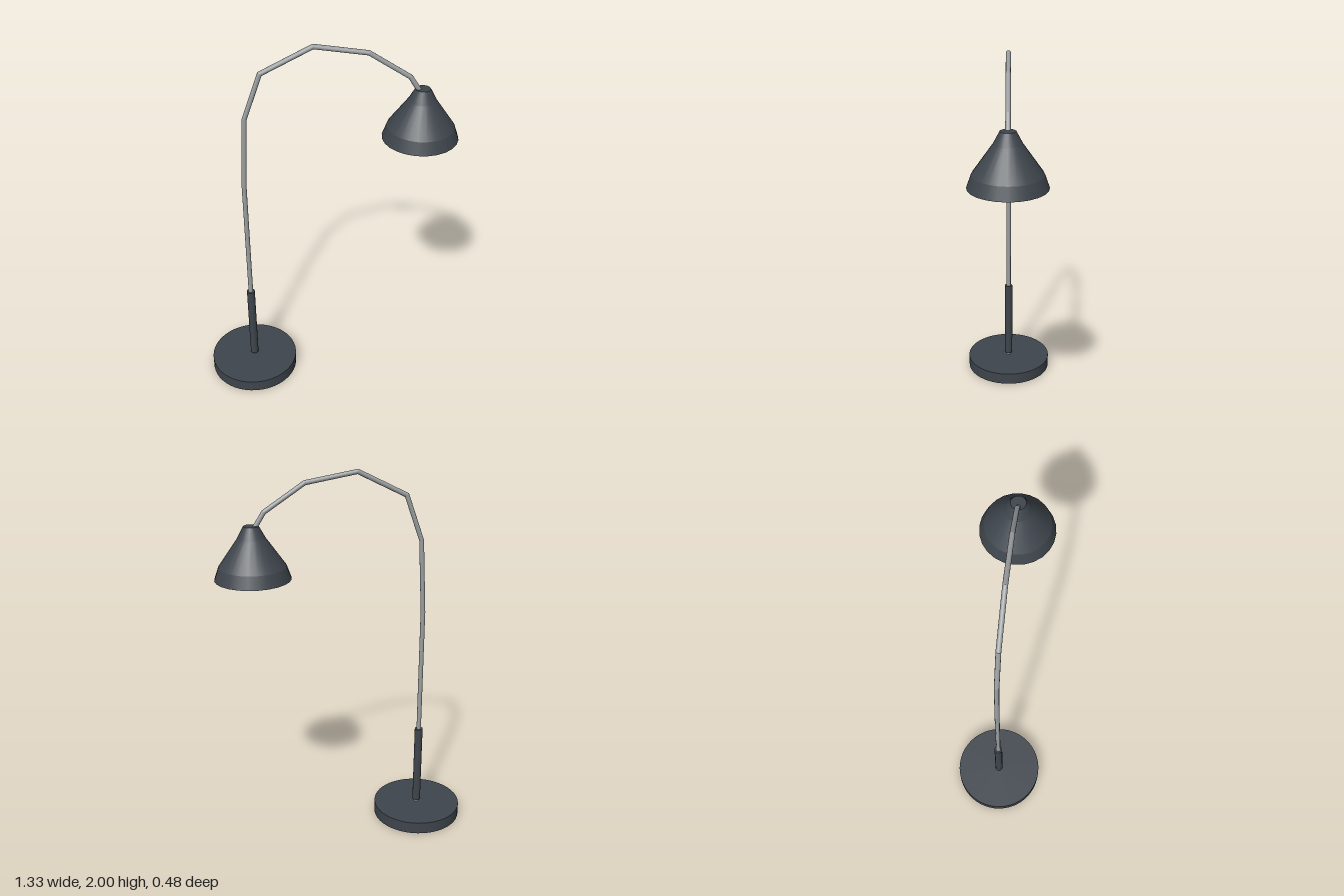
import * as THREE from 'three';

const mat = (name, color, side = THREE.FrontSide) => {
  const m = new THREE.MeshStandardMaterial({ color, side });
  m.name = name;
  return m;
};

// Round rod along a polyline in the xy plane, with mitred bends
function bentRod(points, radius, sides) {
  const pts = points.map(([x, y]) => new THREE.Vector2(x, y));
  const dirs = pts.slice(1).map((p, i) => p.clone().sub(pts[i]).normalize());
  const pos = [], nor = [], idx = [];
  for (let s = 0; s < dirs.length; s++) {
    const d = dirs[s], start = pos.length / 3;
    for (let e = 0; e < 2; e++) {
      const p = pts[s + e];
      const other = dirs[e ? s + 1 : s - 1] ?? d;
      const bis = d.clone().add(other).normalize();
      const slope = (bis.x * -d.y + bis.y * d.x) / bis.dot(d);
      for (let i = 0; i <= sides; i++) {
        const a = (i / sides) * Math.PI * 2, c = Math.cos(a), z = Math.sin(a);
        // Slide each corner along the segment onto the mitre plane
        const t = -c * radius * slope;
        pos.push(p.x - d.y * c * radius + d.x * t, p.y + d.x * c * radius + d.y * t, z * radius);
        nor.push(-d.y * c, d.x * c, z);
      }
    }
    for (let i = 0; i < sides; i++) {
      const a = start + i, b = a + sides + 1;
      idx.push(a, a + 1, b, a + 1, b + 1, b);
    }
  }
  const g = new THREE.BufferGeometry();
  g.setAttribute('position', new THREE.Float32BufferAttribute(pos, 3));
  g.setAttribute('normal', new THREE.Float32BufferAttribute(nor, 3));
  g.setIndex(idx);
  return g;
}

export function createModel() {
  const lamp = new THREE.Group();
  lamp.name = 'floorLamp';
  const dark = mat('charcoal paint', 0x3e454c);
  const steel = mat('brushed steel', 0x9b9fa1, THREE.DoubleSide);
  const cream = mat('cream lining', 0xeee6d2, THREE.BackSide);
  const glass = mat('bulb glass', 0xeee8dc);

  const add = (parent, name, geometry, material, x = 0, y = 0) => {
    const m = new THREE.Mesh(geometry, material);
    m.name = name;
    m.position.set(x, y, 0);
    parent.add(m);
    return m;
  };

  // Base and grip sleeve
  const poleX = -0.426;
  add(lamp, 'base', new THREE.CylinderGeometry(0.242, 0.242, 0.066, 48), dark, poleX, 0.033);
  add(lamp, 'sleeve', new THREE.CylinderGeometry(0.022, 0.022, 0.455, 16), dark, poleX, 0.3075);

  // Arched arm
  const path = [[poleX, 0.06], [poleX, 1.23], [-0.405, 1.62], [-0.32, 1.858], [-0.066, 1.987],
    [0.2, 1.944], [0.405, 1.81], [0.462, 1.72]];
  add(lamp, 'arm', bentRod(path, 0.0125, 12), steel);

  // Shade: stacked cone bands with a pale lining
  const shade = new THREE.Group();
  shade.name = 'shade';
  shade.position.x = 0.47;
  lamp.add(shade);
  const profile = [[0.038, 1.745], [0.07, 1.685], [0.17, 1.542], [0.193, 1.477]];
  const wall = 0.006;
  for (let i = 0; i < profile.length - 1; i++) {
    const [r0, y0] = profile[i], [r1, y1] = profile[i + 1];
    const band = (inset) => new THREE.CylinderGeometry(r0 - inset, r1 - inset, y0 - y1, 24, 1, true);
    add(shade, 'shadeBand', band(0), dark, 0, (y0 + y1) / 2);
    add(shade, 'shadeLining', band(wall), cream, 0, (y0 + y1) / 2);
  }
  const cap = add(shade, 'shadeCap', new THREE.CircleGeometry(0.038, 24), dark, 0, 1.745);
  cap.rotation.x = -Math.PI / 2;
  const rim = add(shade, 'shadeRim', new THREE.RingGeometry(0.193 - wall, 0.193, 24), dark, 0, 1.477);
  rim.rotation.x = Math.PI / 2;

  // Bulb and its socket
  add(shade, 'bulb', new THREE.SphereGeometry(0.04, 20, 14), glass, 0, 1.55);
  add(shade, 'socket', new THREE.CylinderGeometry(0.022, 0.022, 0.15, 16), dark, 0, 1.655);

  return lamp;
}
